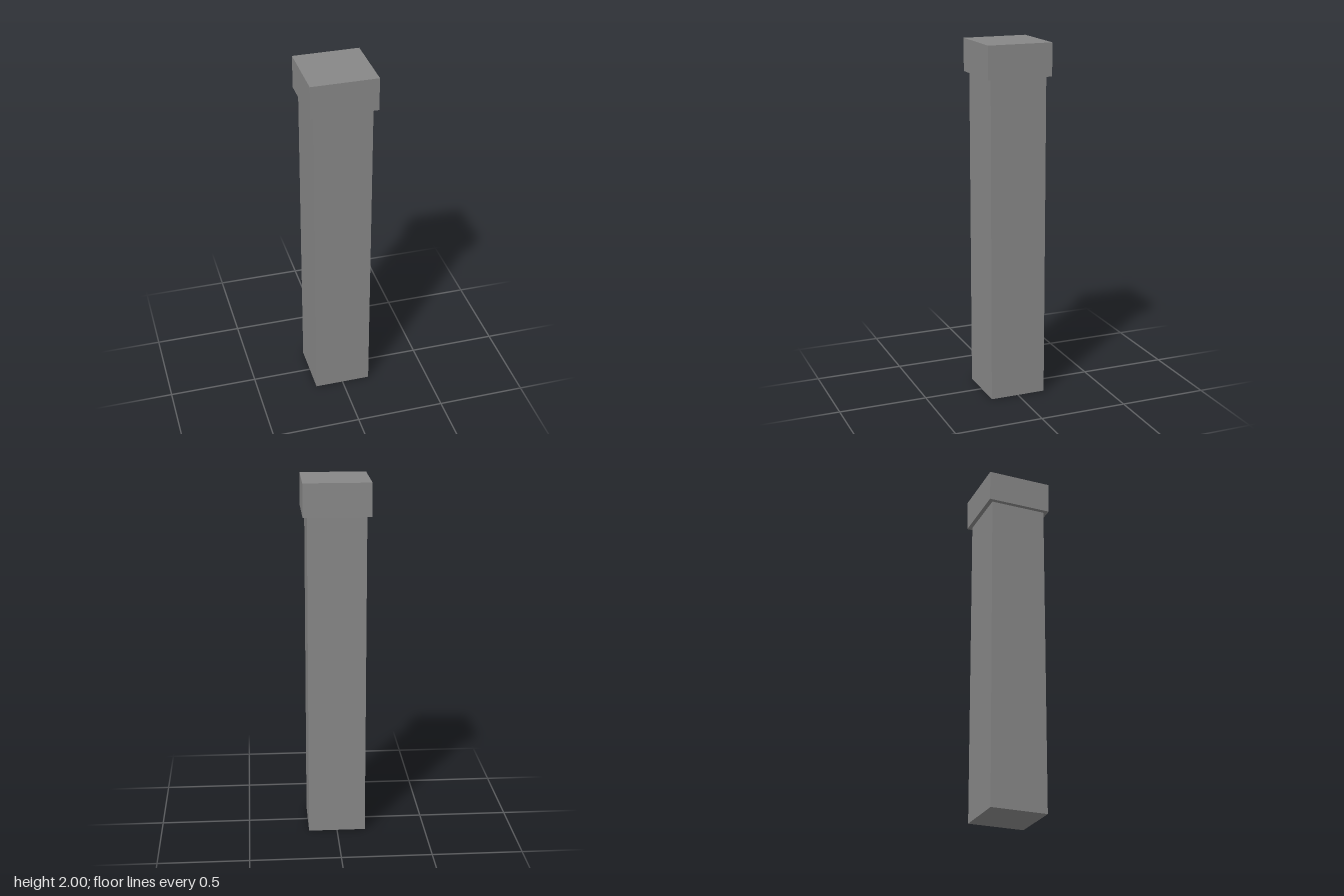
import * as THREE from 'three';

const SHAFT_WIDTH = 0.32;
const CAP_WIDTH = 0.367;
const CAP_BOTTOM = 1.818;
const HEIGHT = 2;

export function createModel() {
  const model = new THREE.Group();
  model.name = 'post';
  const material = new THREE.MeshStandardMaterial({ color: 0x878787 });

  // Square block spanning the given heights
  const addBlock = (name, width, bottom, top) => {
    const mesh = new THREE.Mesh(new THREE.BoxGeometry(width, top - bottom, width), material);
    mesh.name = name;
    mesh.position.y = (bottom + top) / 2;
    model.add(mesh);
  };

  // Tall shaft with a slightly wider cap resting on it
  addBlock('shaft', SHAFT_WIDTH, 0, CAP_BOTTOM);
  addBlock('cap', CAP_WIDTH, CAP_BOTTOM, HEIGHT);

  return model;
}
